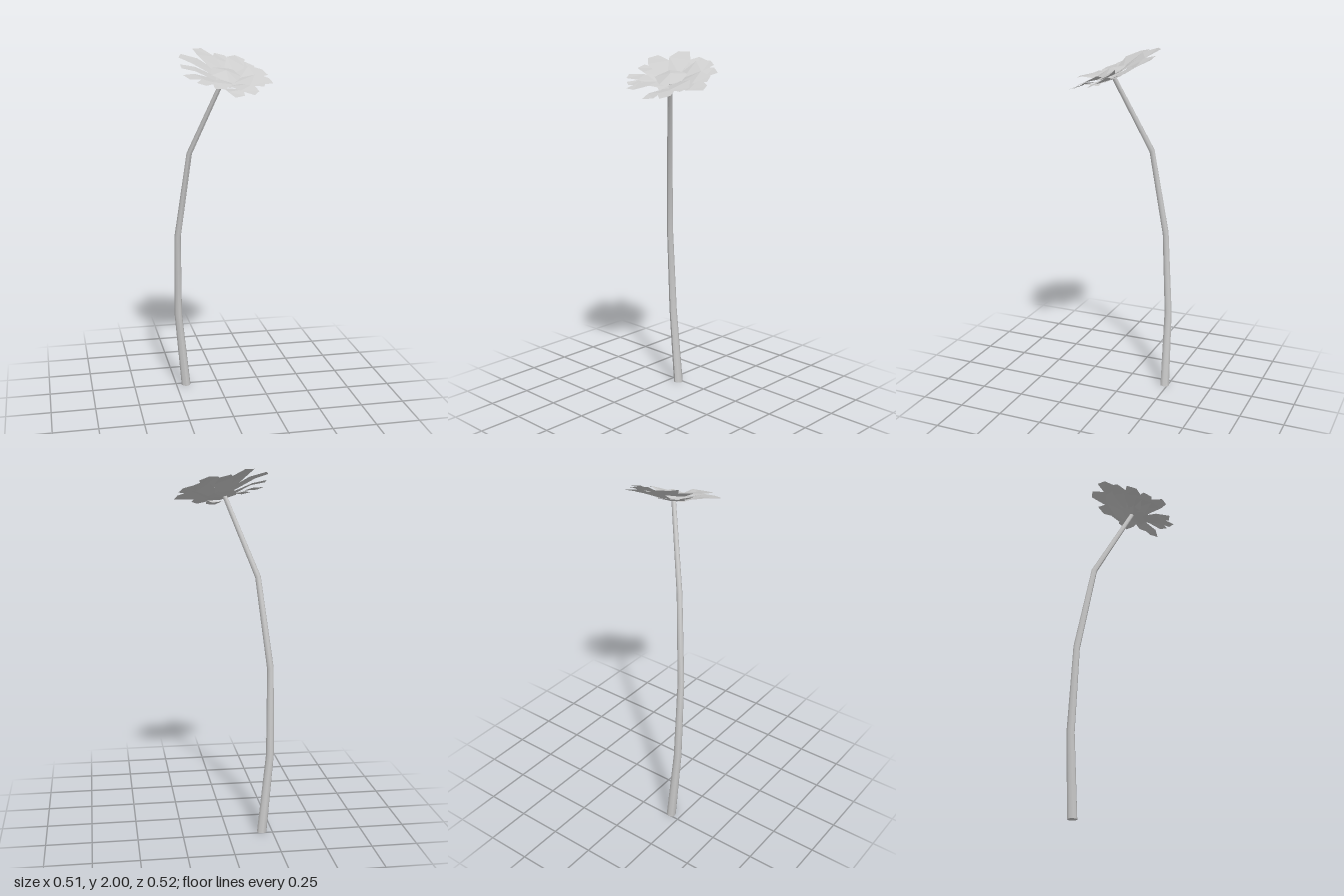
import * as THREE from 'three';

const grey = flatShading => new THREE.MeshStandardMaterial({ color: 0xcccccc, flatShading, side: THREE.DoubleSide });

// Point at plan position x, z, at height h over the tilted plane of the flower head
const CENTRE = 0.035;
const onHead = (x, z, h) => new THREE.Vector3(x, 1.865 - 0.16 * x - 0.36 * (z - CENTRE) + h, z);

function trianglesMesh(name, points, faces) {
  const geometry = new THREE.BufferGeometry().setFromPoints(faces.flat().map(i => points[i]));
  geometry.computeVertexNormals();
  const mesh = new THREE.Mesh(geometry, grey(true));
  mesh.name = name;
  return mesh;
}

// Bent, tapering stem: a cylinder whose rings follow [x, y, z, radius]
function makeStem() {
  const rings = [
    [-0.192, 0.004, -0.232, 0.027], [-0.234, 0.46, -0.23, 0.022], [-0.235, 0.94, -0.206, 0.018],
    [-0.174, 1.43, -0.14, 0.015], [-0.017, 1.845, 0.02, 0.012],
  ];
  const geometry = new THREE.CylinderGeometry(1, 1, 1, 8, rings.length - 1);
  const p = geometry.attributes.position;
  for (let i = 0; i < p.count; i++) {
    const [x, y, z, r] = rings[Math.round((p.getY(i) + 0.5) * (rings.length - 1))];
    // Tilt the upper rings a little with the direction of the stem
    const lean = y > 0.9 ? -0.25 * (p.getX(i) + p.getZ(i)) * r : 0;
    p.setXYZ(i, x + p.getX(i) * r, y + lean, z + p.getZ(i) * r);
  }
  geometry.computeVertexNormals();
  const stem = new THREE.Mesh(geometry, grey(false));
  stem.name = 'stem';
  return stem;
}

// Petal: wide base and shoulders, one shoulder raised, blunt tip that bends over
function makePetal([ax, az, bx, bz, width, lift]) {
  const dx = (ax + bx) / 2, dz = (az + bz) / 2 - CENTRE;
  const length = Math.hypot(dx, dz);
  const ux = dx / length, uz = dz / length;
  const at = (r, side, h) => onHead(ux * r - uz * side, CENTRE + uz * r + ux * side, h + lift);
  const w = width / 2;
  const points = [
    at(0.055, -0.034, -0.008), at(0.055, 0.034, -0.008),
    at(length * 0.68, -w, 0.032), at(length * 0.68, w, 0.014),
    onHead(ax, az, 0.026 + lift), onHead(bx, bz, 0.022 + lift),
  ];
  return trianglesMesh('petal', points, [[0, 1, 2], [1, 3, 2], [2, 3, 4], [3, 5, 4]]);
}

export function createModel() {
  const model = new THREE.Group();
  model.add(makeStem());

  // Petals, clockwise from above: both tip corners (x, z), shoulder width, height over the head
  const upper = 0.008, lower = -0.01;
  const petals = [
    [-0.145, -0.18, -0.09, -0.215, 0.12, upper],
    [-0.018, -0.213, 0.043, -0.208, 0.1, lower],
    [0.092, -0.18, 0.14, -0.155, 0.1, upper],
    [0.143, -0.155, 0.192, -0.127, 0.09, lower],
    [0.212, -0.048, 0.235, 0.003, 0.1, upper],
    [0.24, 0.01, 0.253, 0.055, 0.1, lower],
    [0.2, 0.1, 0.18, 0.153, 0.11, upper],
    [0.145, 0.185, 0.11, 0.23, 0.1, lower],
    [0.06, 0.225, 0.005, 0.253, 0.085, -0.026],
    [-0.05, 0.26, -0.103, 0.26, 0.105, upper],
    [-0.14, 0.21, -0.182, 0.182, 0.095, lower],
    [-0.215, 0.152, -0.243, 0.105, 0.1, -0.014],
    [-0.24, 0.045, -0.24, -0.01, 0.1, lower],
    [-0.243, -0.04, -0.222, -0.1, 0.125, upper],
  ];
  const flower = new THREE.Group();
  flower.name = 'petals';
  petals.forEach(p => flower.add(makePetal(p)));
  model.add(flower);

  // Faceted centre: shallow dome above, cone down to the stem below
  const rim = [[-0.065, -0.028], [0, -0.045], [0.052, -0.043], [0.08, 0.03], [0.05, 0.09], [0, 0.12], [-0.085, 0.067]];
  const rimAt = h => rim.map(([x, z]) => onHead(x, z, h));
  const fan = rim.map((_, i) => [rim.length, (i + 1) % rim.length, i]);
  model.add(trianglesMesh('flowerCentre', [...rimAt(0.012), onHead(0, CENTRE, 0.036)], fan));
  const under = fan.map(([a, b, c]) => [a, c, b]);
  model.add(trianglesMesh('flowerBase', [...rimAt(-0.018), onHead(-0.012, 0.022, -0.032)], under));
  return model;
}
